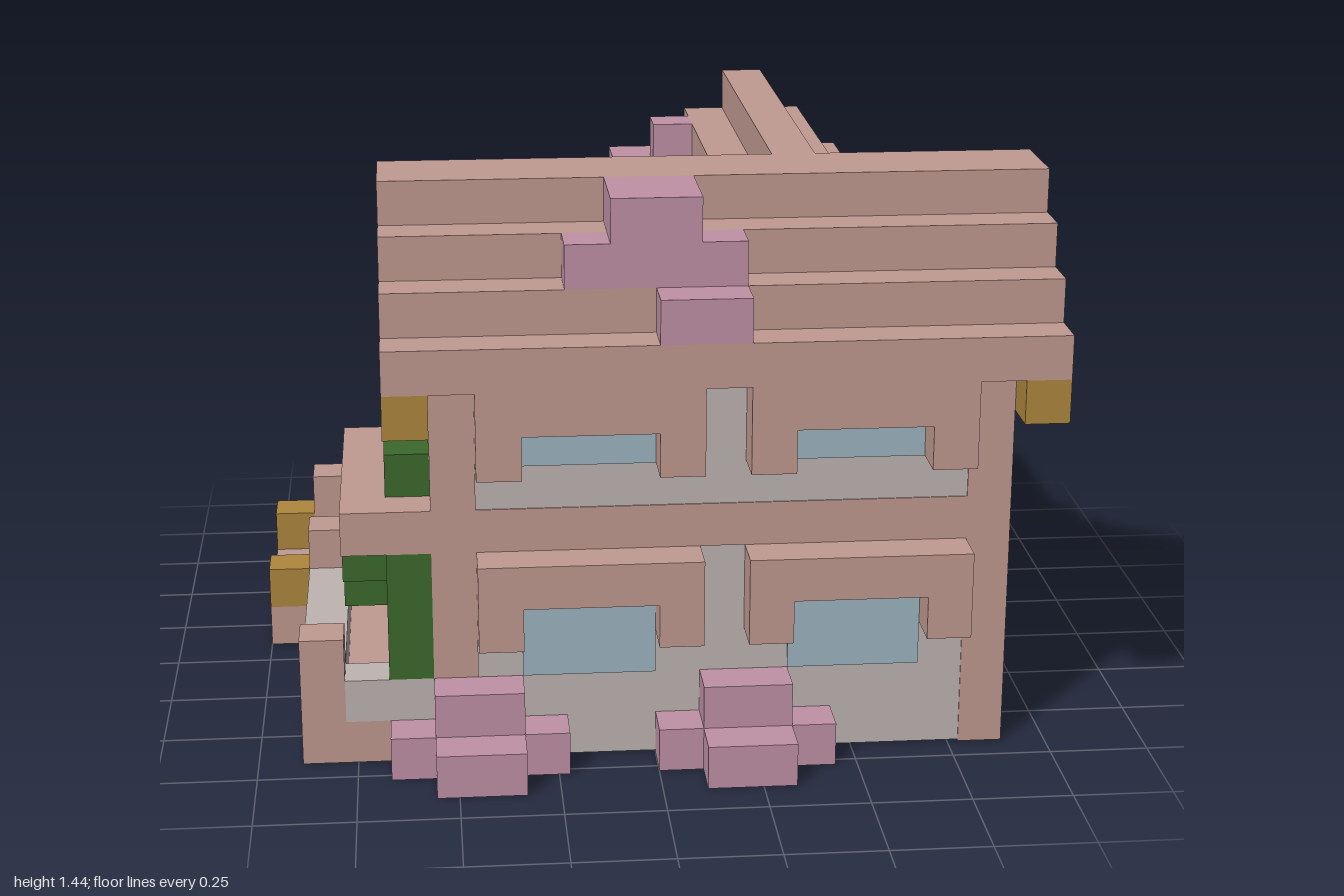
import * as THREE from 'three';

const U = 1 / 9; // one block
const colour = (name, hex) => {
  const m = new THREE.MeshStandardMaterial({ color: hex });
  m.name = name;
  return m;
};

export function createModel() {
  const house = new THREE.Group();
  house.name = 'blockHouse';
  const wood = colour('rosy wood', 0xc09a91);
  const plaster = colour('grey plaster', 0xbfb5b2);
  const blossom = colour('pink blossom', 0xbf91a5);
  const glass = colour('pale blue glass', 0x9db5c0);
  const gold = colour('golden lantern', 0xae883e);
  const leaf = colour('green leaf', 0x3d692d);

  // Box between block coordinates: [x0, x1, y0, y1, z0, z1]
  const box = (name, mat, [x0, x1, y0, y1, z0, z1]) => {
    const mesh = new THREE.Mesh(new THREE.BoxGeometry((x1 - x0) * U, (y1 - y0) * U, (z1 - z0) * U), mat);
    mesh.position.set((x0 + x1) / 2 * U, (y0 + y1) / 2 * U, (z0 + z1) / 2 * U);
    mesh.name = name;
    house.add(mesh);
  };
  const boxes = (name, mat, list) => list.forEach((b) => box(name, mat, b));
  const e = 0.03; // plaster sits slightly behind the timber

  // Main house walls and gable
  boxes('mainWall', plaster, [
    [-5 + e, 8 - e, e, 9, e, 6 - e],
    [-5 + e, 8 - e, 9, 10, 1, 5],
    [-5 + e, 8 - e, 10, 11, 2, 4],
  ]);
  for (const x of [-5, 7]) for (const z of [0, 5]) box('mainPost', wood, [x, x + 1, 0, 9, z, z + 1]);
  box('mainBeam', wood, [-5, 8, 5, 6, 0, 6]);

  // Back wing walls and gable
  boxes('wingWall', plaster, [
    [e, 7 - e, e, 9, -7 + e, 0.5],
    [2, 5, 9, 10, -7 + e, 2],
    [3, 4, 10, 11, -7 + e, 2],
  ]);
  boxes('wingPost', wood, [
    [6, 7, 0, 8.5, -7, -6], [0, 1, 0, 8.5, -7, -6],
  ]);
  boxes('wingLedge', wood, [
    [-1, 8, 4, 5, -8, -7], [7, 8, 4, 5, -8, 0],
  ]);

  // Main roof: stepped shell with its ridge along x
  const mainRoof = (y, z0, z1) => box('mainRoofStep', wood, [-6, 9, y, y + 1, z0, z1]);
  mainRoof(12, 2, 4);
  mainRoof(11, 1, 5);
  for (let i = 0; i < 2; i++) {
    mainRoof(10 - i, 4 + i, 6 + i);
    mainRoof(10 - i, -i, 2 - i);
  }
  // Wing roof: stepped shell with its ridge along z
  const wingRoof = (y, x0, x1) => box('wingRoofStep', wood, [x0, x1, y, y + 1, -8, y > 11 ? 2 : y - 10]);
  wingRoof(12, 3, 4);
  wingRoof(11, 2, 5);
  for (let i = 0; i < 3; i++) {
    wingRoof(10 - i, 4 + i, 6 + i);
    wingRoof(10 - i, 1 - i, 3 - i);
  }
  // Eave lanterns
  for (const x of [-6, 8]) for (const z of [-1, 6]) box('eaveLantern', gold, [x, x + 1, 8, 9, z, z + 1]);
  for (const x of [-1, 7]) box('wingLantern', gold, [x, x + 1, 7, 8, -8, -7]);

  // Front windows with hood frames
  const hood = (x, y, z, w) => boxes('windowHood', wood, [
    [x, x + w, y + 1, y + 2, z, z + 1],
    [x, x + 1, y, y + 1, z, z + 1],
    [x + w - 1, x + w, y, y + 1, z, z + 1],
  ]);
  for (const x of [-4, 2]) {
    hood(x, 3, 6, 5);
    hood(x, 7, 6, 5);
    box('lowerWindow', glass, [x + 1, x + 4, 2, 4, 5.95, 6.01]);
    box('upperWindow', glass, [x + 1, x + 4, 7, 9, 5.95, 6.01]);
  }

  // Wing back window with sill, and left gable window
  box('wingWindow', glass, [2, 5, 7, 10, -7.01, -6.95]);
  box('wingSill', wood, [1, 6, 6, 7, -8, -7]);
  box('sideWindow', glass, [-5.01, -4.95, 7, 9, 2, 4]);
  box('balconyWindow', glass, [-0.01, 0.05, 7, 8, -5, -2]);
  hood(-4, 7, -2, 3);

  // Balcony slab over the porch, with a gap beside the corner post
  boxes('balcony', plaster, [
    [-5, -4, 4, 6, -7, -1], [-4, 0, 4, 6, -7, -6],
    [-3, 0, 4, 6, -6, -5], [-4, 0, 4, 6, -5, 0],
  ]);
  boxes('balconyInlay', wood, [
    [-2, 0, 5.95, 6.02, -6, 0], [-3, -2, 5.95, 6.02, -6, -5], [-4, -2, 5.95, 6.02, -2, 0],
  ]);
  box('porchPost', wood, [-4, -3, 0, 5, -6, -5]);
  box('porchWall', plaster, [-3, 0, 0.05, 4, -6 + e, -5]);
  boxes('porchLintel', wood, [
    [-4, -3, 3, 4, -5, 0], [-4, -3, 2, 3, -5, -4], [-4, -3, 2, 3, -2, -1],
  ]);
  box('balconyHedge', leaf, [-1, 0, 6, 7, -5, -2]);

  // Garden base, low wall, gate posts and step
  boxes('gardenBase', wood, [
    [-8, 0, 0, 1, -6, 0], [-8, -5, 0, 1, 0, 6], [-9, -8, 0, 1, -6, -1],
  ]);
  boxes('gardenWall', plaster, [
    [-7, -4, 1, 2, -6, -5], [-8, -7, 1, 2, -1, 5], [-7, -5, 1, 2, 5, 6],
  ]);
  box('gateThreshold', plaster, [-8, -7, 0.97, 1.03, -5, -2]);
  for (const z of [-6, -2, 5]) box('gardenPost', wood, [-8, -7, 0, 3, z, z + 1]);
  for (const z of [-6, -2]) box('gateLantern', gold, [-9, -8, 1, 2, z, z + 1]);

  // Planter shelf on the left wall with hedge and hanging vines
  box('planterShelf', wood, [-7, -5, 5, 6, 0, 6]);
  box('planterHedge', leaf, [-6, -5, 6, 7, 1, 5]);
  boxes('hangingVine', leaf, [
    [-6, -5, 4, 5, 0, 6], [-6, -5, 2, 4, 5, 6], [-6, -5, 2, 4, 2, 4], [-6, -5, 3, 4, 0, 1],
    [-7, -6, 4, 5, 0, 5], [-7, -6, 3, 4, 1, 2], [-7, -6, 3, 4, 3, 4],
  ]);

  // Flower bushes on the ground
  for (const x of [-6, 0]) boxes('frontBush', blossom, [
    [x, x + 4, 0, 1, 6, 7], [x + 1, x + 3, 1, 2, 6, 7], [x + 1, x + 3, 0, 1, 7, 8],
  ]);
  boxes('sideBush', blossom, [
    [8, 9, 0, 1, -1, 1], [7, 8, 0, 1, -2, 0], [7, 8, 1, 2, -1, 0],
  ]);
  boxes('backBush', blossom, [
    [-2, 2, 0, 1, -8, -7], [-1, 1, 1, 2, -8, -7], [-2, 0, 0, 1, -7, -6], [-1, 0, 1, 2, -7, -6],
  ]);

  // Blossom on the roof slopes
  boxes('frontRoofBlossom', blossom, [
    [-1, 1, 12, 13, 4, 6], [-2, 2, 11, 12, 5, 6], [0, 2, 10, 11, 6, 7],
  ]);
  boxes('rightRoofBlossom', blossom, [
    [5, 6, 11, 12, -2, 1], [6, 7, 11, 12, 0, 1], [6, 7, 10, 11, -3, 0], [7, 8, 9, 10, -3, -1], [7, 8, 10, 11, -1, 0],
  ]);
  boxes('leftRoofBlossom', blossom, [
    [-1, 0, 9, 10, -7, -4], [0, 1, 10, 11, -8, -6], [1, 2, 11, 12, -7, -6],
    [-1, 0, 9, 10, -2, 0], [0, 1, 10, 11, -2, 0], [1, 2, 11, 12, -2, -1], [0, 2, 11, 12, 0, 1],
  ]);

  return house;
}
